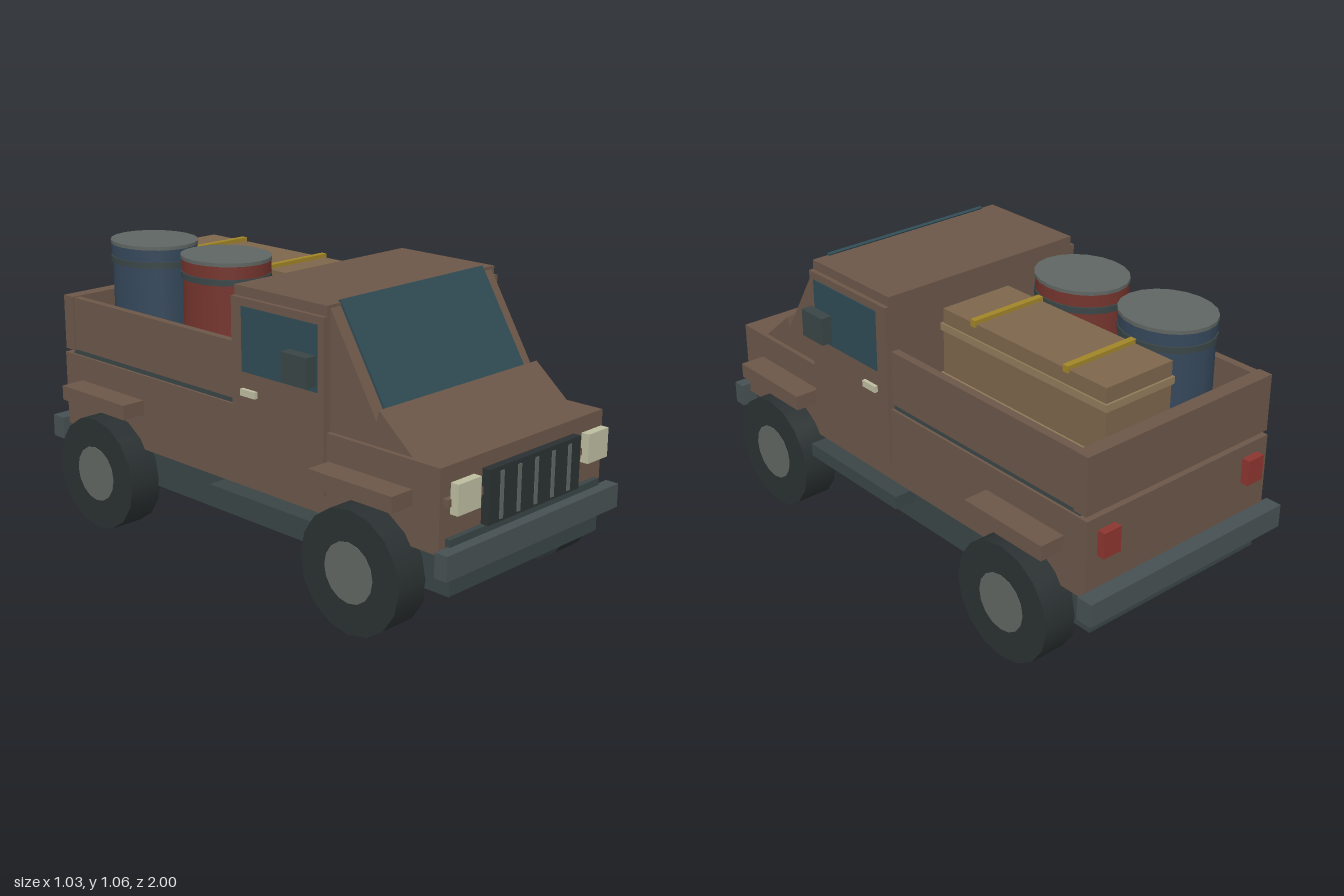
import * as THREE from 'three';

const paint = (color) => new THREE.MeshStandardMaterial({ color });
const brown = paint(0x6b5648), dark = paint(0x3a4546), steel = paint(0x465052), glass = paint(0x2f4b54);
const black = paint(0x2a3031), grey = paint(0x5f6562), cream = paint(0xbcbca0), red = paint(0x8c3530);
const wood = paint(0x7d654c), paleWood = paint(0x917a5a), yellow = paint(0xa08428);
const barrelRed = paint(0x74342d), barrelBlue = paint(0x35475a);

export function createModel() {
  const truck = new THREE.Group();
  truck.name = 'pickupTruck';

  const add = (name, geometry, material, parent = truck) => {
    const mesh = new THREE.Mesh(geometry, material);
    mesh.name = name;
    parent.add(mesh);
    return mesh;
  };
  // Box given by its extents along each axis
  const box = (name, [x0, x1], [y0, y1], [z0, z1], material) => {
    const g = new THREE.BoxGeometry(x1 - x0, y1 - y0, z1 - z0);
    g.translate((x0 + x1) / 2, (y0 + y1) / 2, (z0 + z1) / 2);
    return add(name, g, material);
  };
  // The same box on both sides
  const pair = (name, [x0, x1], y, z, material) => {
    box(name + 'Left', [x0, x1], y, z, material);
    box(name + 'Right', [-x1, -x0], y, z, material);
  };
  // Side profile of [z, y] points, extruded across the width
  const profile = (name, points, halfWidth, material) => {
    const shape = new THREE.Shape(points.map(([z, y]) => new THREE.Vector2(-z, y)));
    const g = new THREE.ExtrudeGeometry(shape, { depth: halfWidth * 2, bevelEnabled: false });
    g.translate(0, 0, -halfWidth);
    g.rotateY(Math.PI / 2);
    return add(name, g, material);
  };

  // Chassis, lower body and bumpers
  box('chassis', [-0.39, 0.39], [0.19, 0.38], [-0.938, 0.96], dark);
  box('chassisSkirt', [-0.415, 0.415], [0.19, 0.33], [-0.937, 0.937], dark).scale.x = 0.94;
  box('lowerBody', [-0.42, 0.42], [0.33, 0.615], [-0.94, 0.94], brown);
  box('frontBumper', [-0.45, 0.45], [0.27, 0.355], [0.95, 1], steel);
  box('rearBumper', [-0.45, 0.45], [0.27, 0.355], [-1, -0.938], steel);
  pair('runningBoard', [0.38, 0.475], [0.27, 0.32], [-0.055, 0.45], dark);

  // Nose: grille, slats and lamps
  box('noseBar', [-0.405, 0.405], [0.49, 0.515], [0.93, 0.962], brown);
  box('grille', [-0.237, 0.237], [0.39, 0.575], [0.955, 0.985], black);
  for (let i = -2; i <= 2; i++) {
    const x = i * 0.088;
    box('grilleSlat', [x - 0.008, x + 0.008], [0.4, 0.56], [0.98, 0.989], grey);
  }
  pair('headlight', [0.28, 0.39], [0.465, 0.568], [0.957, 0.988], cream);
  pair('tailLight', [0.298, 0.372], [0.475, 0.568], [-0.97, -0.935], red);

  // Hood, windscreen frame and cabin
  profile('hoodAndPillars', [[0.815, 0.613], [0.67, 0.735], [0.66, 0.695], [0.455, 1.03], [0.455, 0.613]], 0.402, brown);
  profile('windscreen', [[0.668, 0.7], [0.456, 1.045], [0.446, 1.04], [0.655, 0.695]], 0.355, glass);
  box('cabin', [-0.418, 0.418], [0.6, 1.035], [0.025, 0.458], brown);
  pair('door', [0.41, 0.435], [0.4, 1], [0.025, 0.46], brown);
  pair('doorWindow', [0.42, 0.439], [0.748, 0.973], [0.078, 0.433], glass);
  pair('doorHandle', [0.43, 0.449], [0.666, 0.69], [0.08, 0.15], cream);
  pair('mirrorArm', [0.43, 0.455], [0.795, 0.815], [0.37, 0.39], dark);
  pair('mirror', [0.448, 0.49], [0.772, 0.874], [0.32, 0.438], dark);

  // Open cargo bed
  box('bedFloor', [-0.41, 0.41], [0.61, 0.635], [-0.9, 0.022], dark);
  pair('bedWall', [0.385, 0.415], [0.634, 0.835], [-0.905, 0.022], brown);
  box('tailgate', [-0.42, 0.42], [0.63, 0.838], [-0.935, -0.88], brown);

  // Fenders and wheels
  for (const [label, z, fender] of [['front', 0.65, [0.468, 0.83]], ['rear', -0.655, [-0.84, -0.475]]]) {
    pair(label + 'Fender', [0.41, 0.515], [0.465, 0.52], fender, brown);
    for (const side of [1, -1]) {
      const wheel = new THREE.Group();
      wheel.name = label + 'Wheel' + (side > 0 ? 'Left' : 'Right');
      wheel.position.set(side * 0.448, 0.215, z);
      wheel.rotation.z = -side * Math.PI / 2;
      add('tyre', new THREE.CylinderGeometry(0.215, 0.215, 0.134, 16), black, wheel);
      add('hub', new THREE.CylinderGeometry(0.105, 0.105, 0.138, 16), grey, wheel);
      truck.add(wheel);
    }
  }

  // Barrels, slightly oval
  for (const [name, z, material] of [['redBarrel', -0.28, barrelRed], ['blueBarrel', -0.68, barrelBlue]]) {
    const barrel = new THREE.Group();
    barrel.name = name;
    barrel.position.set(-0.18, 0, z);
    barrel.scale.set(0.155, 1, 0.175);
    const ring = (part, r, y0, y1, mat) => {
      const g = new THREE.CylinderGeometry(r, r, y1 - y0, 20);
      g.translate(0, (y0 + y1) / 2, 0);
      add(part, g, mat, barrel);
    };
    ring('drum', 0.96, 0.63, 1.045, material);
    ring('lowerHoop', 1, 0.7, 0.725, dark);
    ring('upperHoop', 1, 0.975, 0.997, dark);
    ring('rim', 0.985, 1.0, 1.046, material);
    ring('lid', 1, 1.043, 1.056, grey);
    truck.add(barrel);
  }

  // Crate with bands and straps
  box('crate', [-0.025, 0.265], [0.63, 0.985], [-0.85, -0.075], wood);
  for (const y of [0.72, 0.905]) box('crateBand', [-0.031, 0.271], [y, y + 0.026], [-0.858, -0.067], paleWood);
  for (const z of [-0.235, -0.675]) box('crateStrap', [-0.03, 0.272], [0.975, 0.999], [z - 0.012, z + 0.012], yellow);

  return truck;
}
